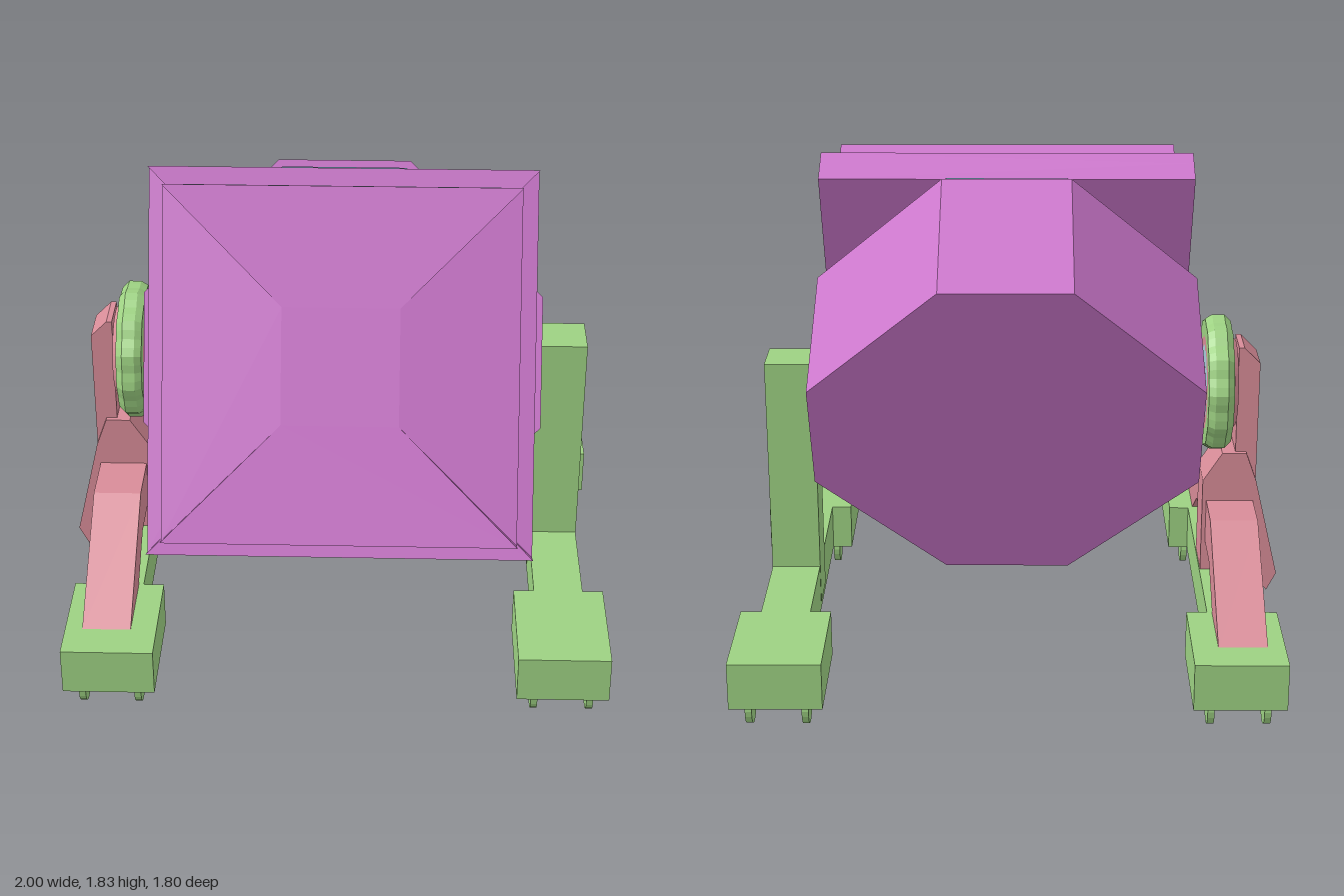
import * as THREE from 'three';
import { ConvexGeometry } from 'three/addons/geometries/ConvexGeometry.js';

const mat = (color) => new THREE.MeshStandardMaterial({ color, flatShading: true, side: THREE.DoubleSide });

export function createModel() {
  const purple = mat(0xcc77cc), green = mat(0x9dd182), pink = mat(0xd88c98);
  const blue = mat(0xa9cddb), teal = mat(0x6f9fb5);
  const model = new THREE.Group();

  const add = (parent, name, geometry, material) => {
    const mesh = new THREE.Mesh(geometry, material);
    mesh.name = name;
    parent.add(mesh);
    return mesh;
  };
  // box given by its lower and upper corners
  const box = (parent, name, [x0, y0, z0], [x1, y1, z1], material) => {
    const mesh = add(parent, name, new THREE.BoxGeometry(x1 - x0, y1 - y0, z1 - z0), material);
    mesh.position.set((x0 + x1) / 2, (y0 + y1) / 2, (z0 + z1) / 2);
    return mesh;
  };
  const prism = (points, from, to) => {
    const shape = new THREE.Shape(points.map(([x, y]) => new THREE.Vector2(x, y)));
    return new THREE.ExtrudeGeometry(shape, { depth: to - from, bevelEnabled: false }).translate(0, 0, from);
  };

  // Tilted head: drum, spacer and stacked panels
  const head = new THREE.Group();
  head.name = 'tiltedHead';
  head.position.set(0.025, 1, 0);
  head.rotation.x = -THREE.MathUtils.degToRad(25);
  model.add(head);

  const octagon = (a, b) => [[b, -a], [a, -b], [a, b], [b, a], [-b, a], [-a, b], [-a, -b], [-b, -a]];
  add(head, 'drum', prism(octagon(0.715, 0.235), -0.3, 0.31), purple);
  add(head, 'drumSpacer', prism(octagon(0.69, 0.22), 0.31, 0.345), teal);

  // square panel whose face has a waisted flat and sides sloping to the rim
  const panel = (name, half, back, front, slope) => {
    const group = new THREE.Group();
    group.name = name;
    head.add(group);
    const w = 0.205, base = front - slope;
    if (base - back > 0.001) box(group, name + 'Base', [-half, -half, back], [half, half, base], purple);
    add(group, name + 'Face', prism([[-half, -half], [half, -half], [w, -w], [w, w],
      [half, half], [-half, half], [-w, w], [-w, -w]], base, front), purple);
    for (const s of [-1, 1]) {
      const wedge = [[w, w, front], [w, -w, front], [w, w, base], [w, -w, base], [half, half, base], [half, -half, base]];
      add(group, name + 'Slope', new ConvexGeometry(wedge.map(([x, y, z]) => new THREE.Vector3(s * x, y, z))), purple);
    }
  };
  panel('rearPanel', 0.685, 0.345, 0.497, 0.06);
  box(head, 'panelSpacer', [-0.622, -0.623, 0.497], [0.622, 0.623, 0.565], blue);
  panel('frontPanel', 0.622, 0.565, 0.625, 0.055);

  // Two wheeled rails
  for (const cx of [-0.797, 0.83]) {
    const rail = new THREE.Group();
    rail.name = cx > 0 ? 'leftRail' : 'rightRail';
    rail.position.x = cx;
    model.add(rail);
    box(rail, 'railBar', [-0.09, 0.1, -0.48], [0.09, 0.275, 0.48], green);
    for (const s of [-1, 1]) {
      box(rail, 'footBlock', [-0.165, 0.1, s * 0.69 - 0.21], [0.165, 0.275, s * 0.69 + 0.21], green);
      for (const x of [-0.1, 0.1]) for (const z of [0.58, 0.795]) {
        const wheel = add(rail, 'wheel', new THREE.CylinderGeometry(0.075, 0.075, 0.024, 20), green);
        wheel.rotation.z = Math.PI / 2;
        wheel.position.set(x, 0.075, s * z);
      }
    }
  }

  // Plain post on the left
  box(model, 'supportPost', [0.739, 0.125, -0.09], [0.921, 1.093, 0.09], green);

  // Arched brace over the right rail: profile in z and y, swept along x
  const arch = add(model, 'archBrace', prism([[-0.77, 0.27], [-0.5, 0.27], [-0.3, 0.395], [0.3, 0.395],
    [0.5, 0.27], [0.77, 0.27], [0.3, 0.56], [-0.3, 0.56]], 0, 0.175), pink);
  arch.rotation.y = Math.PI / 2;
  arch.position.x = -0.9;

  // Pivot arm: block, upright and outward foot
  const arm = new THREE.Group();
  arm.name = 'pivotArm';
  model.add(arm);
  add(arm, 'armBlock', prism([[-0.91, 0.275], [-0.71, 0.275], [-0.71, 0.64], [-0.78, 0.75], [-0.87, 0.75],
    [-0.91, 0.64]], -0.11, 0.09), pink);
  add(arm, 'armUpright', prism([[-0.91, 0.64], [-0.83, 0.64], [-0.83, 1.16], [-0.85, 1.16], [-0.91, 1.1]], -0.09, 0.07), pink);
  add(arm, 'armFoot', prism([[-0.91, 0.64], [-1, 0.26], [-0.965, 0.19], [-0.89, 0.28], [-0.88, 0.62]], -0.11, 0.09), pink);

  // Round pivot between arm and drum, turned about the x axis
  const pivot = new THREE.Group();
  pivot.name = 'pivot';
  pivot.position.set(-0.71, 1, -0.015);
  pivot.rotation.z = Math.PI / 2;
  model.add(pivot);
  const ring = (name, profile, material) => add(pivot, name,
    new THREE.LatheGeometry(profile.map(([r, h]) => new THREE.Vector2(r, h)), 48), material);
  const knobs = ring('lobedRing', [[0.17, 0], [0.235, 0], [0.25, 0.025], [0.25, 0.07], [0.225, 0.095],
    [0.18, 0.095], [0.17, 0.07], [0.17, 0]], green);
  // ripple the rim into lobes
  const p = knobs.geometry.attributes.position;
  for (let i = 0; i < p.count; i++) {
    const x = p.getX(i), z = p.getZ(i);
    if (Math.hypot(x, z) < 0.2) continue;
    const k = 1 + 0.025 * Math.sin(12 * Math.atan2(z, x));
    p.setXYZ(i, x * k, p.getY(i), z * k);
  }
  knobs.geometry.computeVertexNormals();
  ring('innerRing', [[0.13, 0], [0.175, 0], [0.175, 0.1], [0.16, 0.115], [0.13, 0.115], [0.13, 0]], pink);
  const disc = (name, r, from, to, material) => {
    const mesh = add(pivot, name, new THREE.CylinderGeometry(r, r, to - from, 32), material);
    mesh.position.y = (from + to) / 2;
  };
  disc('pivotPlate', 0.14, 0, 0.085, blue);
  disc('pivotHub', 0.07, -0.03, 0.13, pink);

  return model;
}
